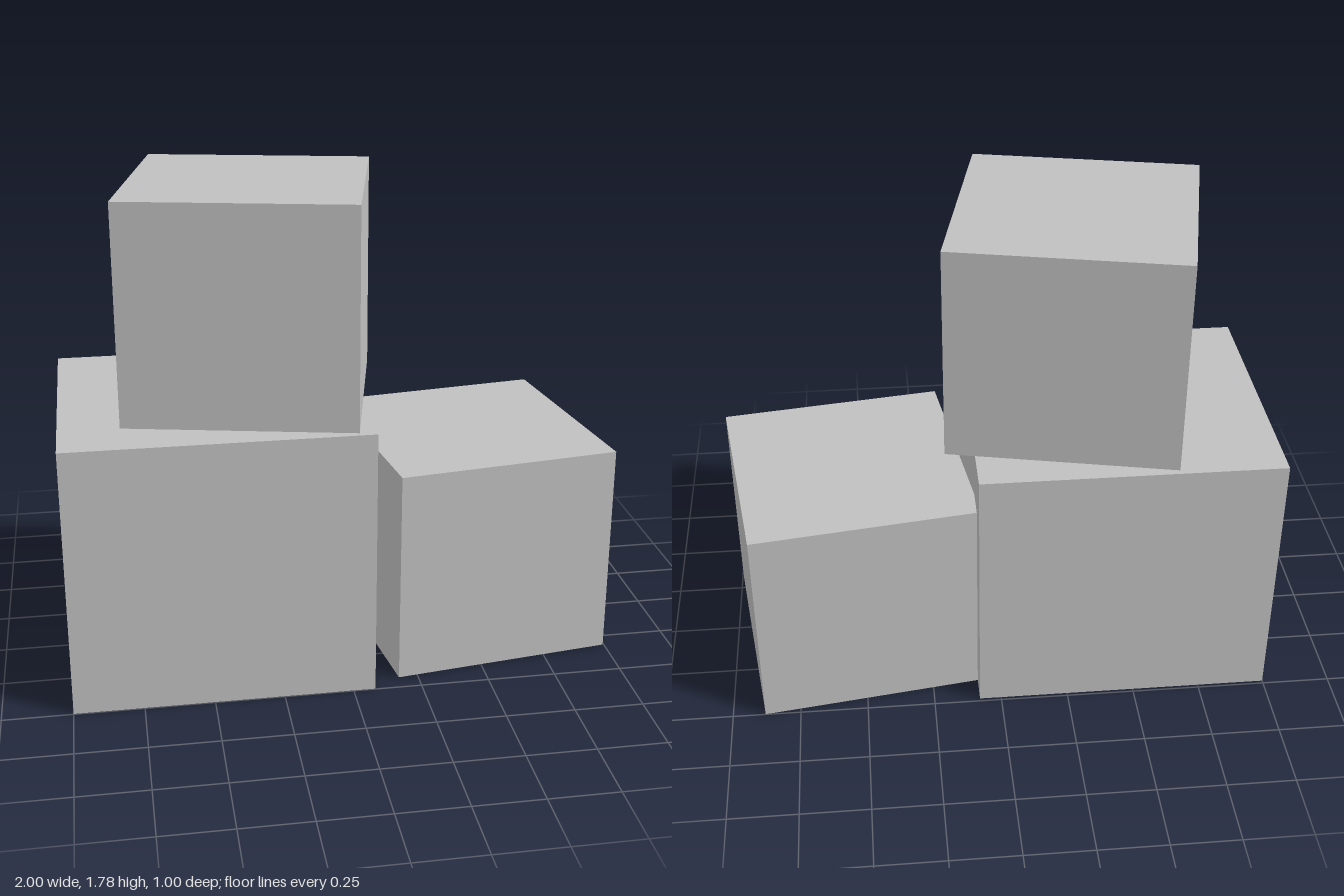
import * as THREE from 'three';

export function createModel() {
  const model = new THREE.Group();
  model.name = 'stackedBoxes';
  const grey = new THREE.MeshStandardMaterial({ name: 'light grey', color: 0xc0c0c0 });

  // A plain box standing on height y, turned about its vertical axis
  function addBox(name, [width, height, depth], [x, y, z], turn = 0) {
    const box = new THREE.Mesh(new THREE.BoxGeometry(width, height, depth), grey);
    box.name = name;
    box.position.set(x, y + height / 2, z);
    box.rotation.y = turn;
    model.add(box);
  }

  addBox('largeBox', [1.08, 0.99, 0.985], [-0.46, 0, 0.005]);
  addBox('sideBox', [0.824, 0.795, 0.825], [0.53, 0, -0.033], 0.14);
  addBox('topBox', [0.823, 0.79, 0.788], [-0.3, 0.99, 0.005], -0.212);

  return model;
}
